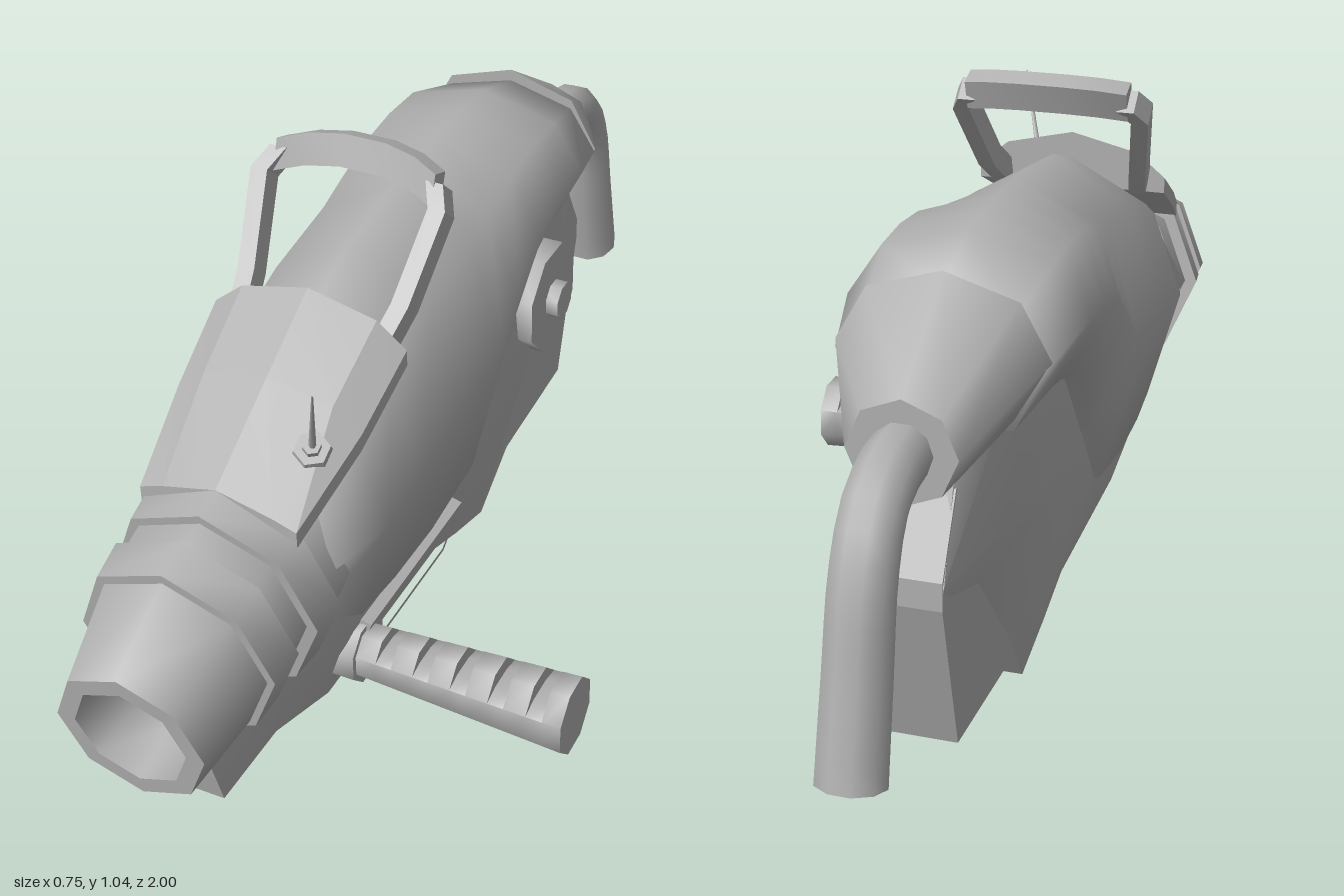
import * as THREE from 'three';
import { toCreasedNormals } from 'three/addons/utils/BufferGeometryUtils.js';

const metal = new THREE.MeshStandardMaterial({ color: 0xb0b0b0 });
metal.name = 'grey metal';

// Skin a list of equal-length loops of [x, y, z], closing both ends
function loft(loops, crease = 0.5) {
  const n = loops[0].length, pos = [], idx = [];
  loops.forEach(l => l.forEach(p => pos.push(...p)));
  for (let j = 0; j < loops.length - 1; j++) {
    for (let i = 0; i < n; i++) {
      const a = j * n + i, b = j * n + (i + 1) % n;
      idx.push(a, b, b + n, a, b + n, a + n);
    }
  }
  [0, loops.length - 1].forEach((j, end) => {
    const c = pos.length / 3;
    pos.push(...[0, 1, 2].map(k => loops[j].reduce((s, p) => s + p[k], 0) / n));
    for (let i = 0; i < n; i++) {
      const a = j * n + i, b = j * n + (i + 1) % n;
      idx.push(...(end ? [c, a, b] : [c, b, a]));
    }
  });
  // Turn the faces outward if the signed volume is negative
  const v = i => new THREE.Vector3().fromArray(pos, i * 3);
  let volume = 0;
  for (let i = 0; i < idx.length; i += 3) volume += v(idx[i]).dot(v(idx[i + 1]).cross(v(idx[i + 2])));
  if (volume < 0) idx.reverse();
  const g = new THREE.BufferGeometry();
  g.setAttribute('position', new THREE.Float32BufferAttribute(pos, 3));
  g.setIndex(idx);
  return toCreasedNormals(g, crease);
}

function add(parent, name, geometry) {
  const m = new THREE.Mesh(geometry, metal);
  m.name = name;
  parent.add(m);
  return m;
}

const angles = (n, offset = 0) => Array.from({ length: n }, (_, i) => i / n * Math.PI * 2 + offset);

// Leaning octagonal ring around the z axis
const ring = ([z, y, r]) => angles(8).map(a =>
  [r * Math.cos(a), y + r * Math.sin(a), z + 0.12 * r * Math.sin(a)]);

// Rectangular bar swept along points; u and v are half-size vectors
function bar(points, u, v) {
  const U = new THREE.Vector3(...u), V = new THREE.Vector3(...v);
  return loft(points.map(p => [[1, 1], [-1, 1], [-1, -1], [1, -1]].map(([s, t]) =>
    new THREE.Vector3(...p).addScaledVector(U, s).addScaledVector(V, t).toArray())));
}

// Plate outlined in [z, y], thickened towards +x
function plate(outline, depth, hole) {
  const vec = ([z, y]) => new THREE.Vector2(-z, y);
  const s = new THREE.Shape(outline.map(vec));
  if (hole) s.holes.push(new THREE.Path(hole.map(vec)));
  return new THREE.ExtrudeGeometry(s, { depth, bevelEnabled: false }).rotateY(Math.PI / 2);
}

export function createModel() {
  const model = new THREE.Group();
  model.name = 'device';
  const core = new THREE.Group();
  core.name = 'core';
  core.position.x = -0.163;
  model.add(core);

  // Main shell, flat underneath: z, top, bottom, half width
  const shell = [
    [0.6, 0.66, 0.37, 0.17], [0.47, 0.75, 0.283, 0.2], [0.35, 0.82, 0.275, 0.208],
    [0.2, 0.87, 0.272, 0.21], [0.02, 0.895, 0.295, 0.21], [-0.05, 0.9, 0.41, 0.21],
    [-0.15, 0.905, 0.565, 0.21], [-0.25, 0.907, 0.62, 0.21], [-0.35, 0.9, 0.637, 0.208],
    [-0.5, 0.85, 0.62, 0.176]];
  add(core, 'shell', loft(shell.map(([z, t, b, w]) => angles(8).map(a => {
    const s = Math.sin(a), low = s < -0.1 && s > -0.9;
    return [w * Math.cos(a), (t + b) / 2 + (t - b) / 2 * (low ? -0.95 : s), z];
  })), 1.5));

  // Tail cone and bent pipe
  add(core, 'tailCone', loft([[-0.485, 0.743, 0.181, 0.135], [-0.695, 0.655, 0.092, 0.09]].map(
    ([z, y, rx, ry]) => angles(8).map(a => [rx * Math.cos(a), y + ry * Math.sin(a), z])), 0.9));
  const bend = new THREE.CatmullRomCurve3([[-0.66, 0.655], [-0.75, 0.653], [-0.825, 0.62],
    [-0.873, 0.54], [-0.905, 0.39], [-0.94, 0.222]].map(([z, y]) => new THREE.Vector3(0, y, z)));
  const pipe = Array.from({ length: 15 }, (_, i) => {
    const c = bend.getPointAt(i / 14), t = bend.getTangentAt(i / 14), r = 0.051 + 0.008 * i / 14;
    return angles(10).map(a => [r * Math.cos(a), c.y - r * Math.sin(a) * t.z, c.z + r * Math.sin(a) * t.y]);
  });
  add(core, 'tailPipe', loft(pipe, 0.9));

  // Nozzle with a hollow mouth, and two collars: z, y, radius
  add(core, 'nozzle', loft([[0.575, 0.488, 0.18], [0.72, 0.478, 0.172], [0.83, 0.455, 0.165],
    [0.984, 0.404, 0.135], [0.984, 0.404, 0.102], [0.88, 0.42, 0.088]].map(ring), 0.9));
  add(core, 'rearCollar', loft([[0.645, 0.483, 0.2], [0.712, 0.475, 0.192]].map(ring), 0.9));
  add(core, 'frontCollar', loft([[0.765, 0.47, 0.186], [0.832, 0.458, 0.179]].map(ring), 0.9));

  // Keel: [z, y, half width] at bottom, middle and top of each section
  const keel = [
    [[0.83, 0.145, 0.06], [0.85, 0.23, 0.055], [0.87, 0.33, 0.055]],
    [[0.66, 0.15, 0.066], [0.66, 0.25, 0.085], [0.66, 0.36, 0.085]],
    [[0.48, 0.085, 0.07], [0.48, 0.29, 0.135], [0.48, 0.38, 0.13]],
    [[0.03, 0.08, 0.07], [0.03, 0.3, 0.138], [0.03, 0.42, 0.13]],
    [[-0.07, 0.045, 0.07], [-0.07, 0.33, 0.138], [-0.07, 0.55, 0.12]],
    [[-0.2, 0, 0.065], [-0.2, 0.36, 0.138], [-0.2, 0.64, 0.115]],
    [[-0.33, 0.15, 0.06], [-0.33, 0.4, 0.132], [-0.33, 0.66, 0.11]],
    [[-0.5, 0.33, 0.06], [-0.5, 0.45, 0.11], [-0.5, 0.64, 0.1]],
    [[-0.675, 0.38, 0.055], [-0.69, 0.43, 0.067], [-0.62, 0.575, 0.06]]];
  add(core, 'keel', loft(keel.map(([b, m, t]) => [
    ...[b, m, t].map(([z, y, w]) => [w, y, z]), ...[t, m, b].map(([z, y, w]) => [-w, y, z])])));

  // Flat fin below the bulge of the keel
  add(core, 'rearFin', plate([[-0.2, 0], [-0.33, 0.08], [-0.605, 0.1], [-0.692, 0.39],
    [-0.692, 0.44], [-0.62, 0.57], [-0.2, 0.57]], 0.13)).position.x = -0.065;

  // Slot frame beside the grip
  const rect = (z0, z1, y0, y1) => [[z0, y0], [z0, y1], [z1, y1], [z1, y0]];
  const frame = add(core, 'slotFrame', plate(rect(0.44, 0.06, -0.07, 0.07), 0.028,
    rect(0.42, 0.075, -0.052, 0.052)));
  frame.position.set(0.096, 0.185, 0);
  frame.rotation.z = -0.29;

  // Side dial
  for (const [name, r, x, len] of [['dial', 0.113, 0.13, 0.06], ['dialKnob', 0.038, 0.16, 0.05]]) {
    const g = new THREE.CylinderGeometry(r, r, len, 8).rotateY(Math.PI / 8).rotateZ(Math.PI / 2);
    add(core, name, toCreasedNormals(g, 0.9)).position.set(x, 0.48, -0.335);
  }

  // Side grip, notched along its top
  const slice = (x, r, cut) => angles(8, Math.PI / 8).map(a =>
    [x, 0.18 + Math.min(r * Math.sin(a) * 1.08, cut ? r * 0.55 : 1), 0.438 + r * Math.cos(a) * 1.05]);
  const radius = x => 0.049 + 0.02 * (x + 0.03) / 0.4;
  const grip = [slice(-0.03, radius(-0.03))];
  for (let i = 0; i < 5; i++) {
    const a = 0.01 + i * 0.074, b = a + 0.031;
    for (const [x, cut] of [[a, 0], [a, 1], [b, 1], [b, 0]]) grip.push(slice(x, radius(x), cut));
  }
  grip.push(slice(0.373, radius(0.373)));
  add(model, 'sideGrip', loft(grip, 0.9));
  add(model, 'gripMount', loft([slice(-0.09, 0.06), slice(-0.03, 0.06)], 0.9));

  // Hood: z, edge height, shoulder height, crown height, edge half width
  const hood = [[0.35, 0.765, 0.84, 0.87, 0.182], [0.5, 0.69, 0.76, 0.785, 0.172], [0.68, 0.61, 0.655, 0.68, 0.145]];
  add(core, 'hood', loft(hood.map(([z, e, s, c, w]) => [[-w, e, z], [-w, e + 0.03, z],
    [-w * 0.7, s, z], [0, c, z], [w * 0.7, s, z], [w, e + 0.03, z], [w, e, z]]), 0.3));

  // Carrying hoop
  for (const s of [1, -1]) {
    add(core, 'hoopStrut', bar([[s * 0.133, 0.78, 0.35], [s * 0.146, 0.83, 0.285],
      [s * 0.168, 0.965, 0.185], [s * 0.148, 0.995, 0.15]], [0.016, 0, 0], [0, 0.016, 0.018]));
  }
  add(core, 'hoopBar', bar([[-0.15, 0.992, 0.158], [-0.1, 1.002, 0.135], [-0.04, 1.007, 0.122],
    [0.04, 1.007, 0.122], [0.1, 1.002, 0.135], [0.15, 0.992, 0.158]], [0, 0.027, -0.01], [0, 0.007, 0.019]));

  // Antenna on a hexagonal base
  const antenna = new THREE.Group();
  antenna.name = 'antenna';
  antenna.position.set(-0.047, 0.715, 0.565);
  model.add(antenna);
  for (const [name, r, h] of [['antennaBase', 0.036, 0.026], ['antennaNut', 0.018, 0.05]]) {
    const g = new THREE.CylinderGeometry(r * 0.85, r, h, 6);
    add(antenna, name, toCreasedNormals(g, 0.5)).rotation.set(0.5, 0, -0.25);
  }
  const rod = add(antenna, 'antennaRod', new THREE.CylinderGeometry(0.0015, 0.007, 0.215, 6).translate(0, 0.1075, 0));
  rod.quaternion.setFromUnitVectors(new THREE.Vector3(0, 1, 0), new THREE.Vector3(0.058, 0.19, 0.09).normalize());

  return model;
}
